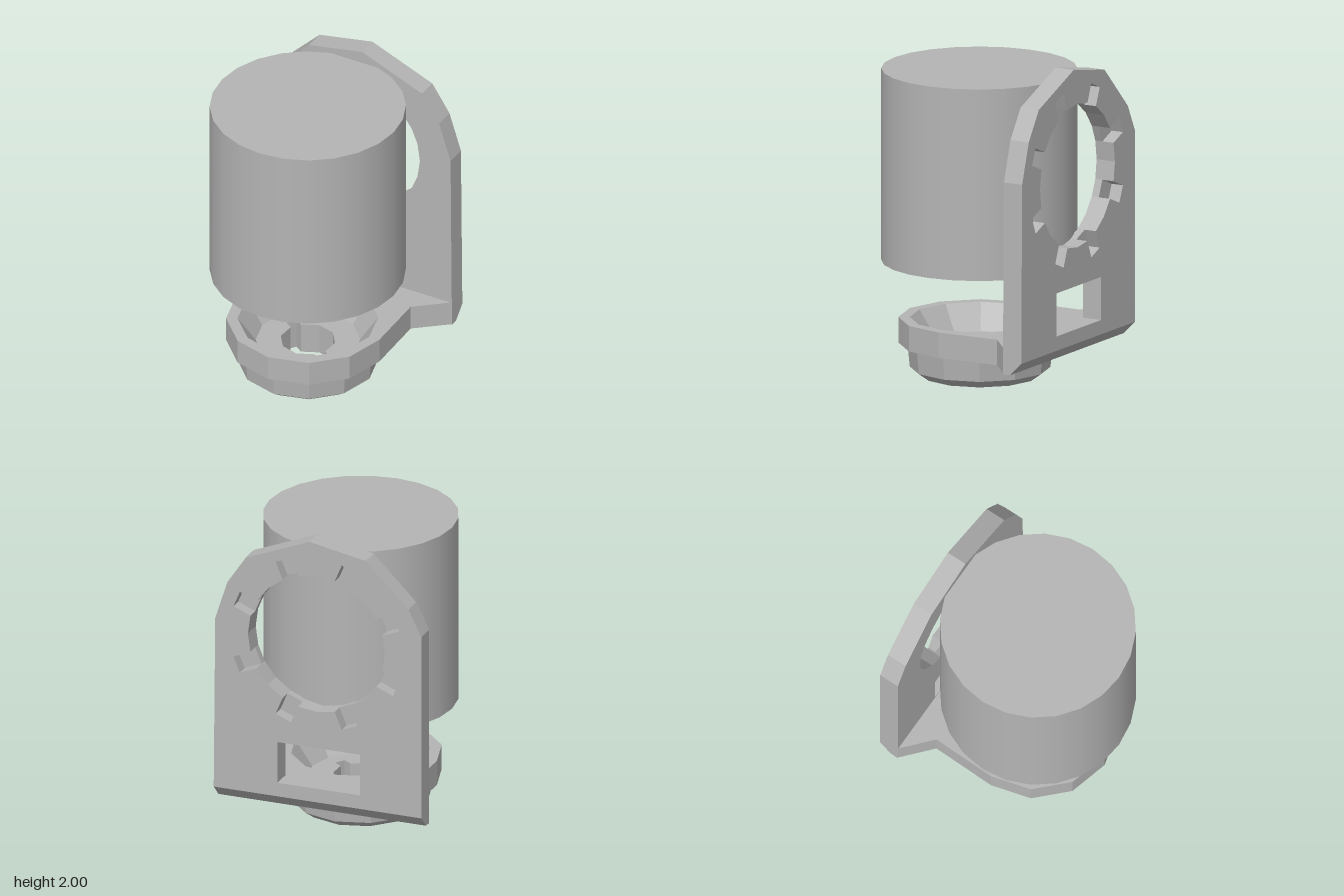
import * as THREE from 'three';

const V = (x, y) => new THREE.Vector2(x, y);

// Regular polygon with a corner on the x axis
function ring(cx, cy, r, n) {
  return Array.from({ length: n }, (_, i) => {
    const a = (i / n) * Math.PI * 2;
    return V(cx + r * Math.cos(a), cy + r * Math.sin(a));
  });
}

// Round hole with n rectangular notches reaching out to radius R (R = r leaves it plain)
function notchedRing(cx, cy, r, R, n, phase, halfWidth) {
  const pts = [];
  const add = (a, d) => pts.push(V(cx + d * Math.cos(a), cy + d * Math.sin(a)));
  for (let i = 0; i < n; i++) {
    const a = phase + (i / n) * Math.PI * 2;
    const w = halfWidth / r, W = halfWidth / R;
    add(a - w, r);
    if (R > r) { add(a - W, R); add(a + W, R); }
    add(a + w, r);
    const steps = n > 4 ? 2 : 4;
    for (let k = 1; k < steps; k++) add(a + w + (k / steps) * ((Math.PI * 2) / n - 2 * w), r);
  }
  return pts;
}

function extrude(outline, holes, depth) {
  const shape = new THREE.Shape(outline);
  for (const h of holes) shape.holes.push(new THREE.Path(h));
  return new THREE.ExtrudeGeometry(shape, { depth, bevelEnabled: false });
}

// Extrude a floor-plan shape (x, z) downward from the given top height
function slab(outline, holes, depth, top) {
  return extrude(outline, holes, depth).rotateX(Math.PI / 2).translate(0, top, 0);
}

export function createModel() {
  const group = new THREE.Group();
  const grey = new THREE.MeshStandardMaterial({ color: 0xb4b4b4 });
  grey.name = 'grey';
  const add = (name, geometry) => {
    const mesh = new THREE.Mesh(geometry, grey);
    mesh.name = name;
    group.add(mesh);
    return mesh;
  };
  const CX = -0.01, CZ = 0.05;

  // Floating drum
  add('drum', new THREE.CylinderGeometry(0.6, 0.6, 1.2, 24).translate(-0.008, 1.32, 0.055));

  // Upright plate: plain front layer, notched back layer with a chamfered foot
  const outline = [
    V(-0.685, 0.2), V(0.68, 0.2), V(0.67, 1.4), V(0.59, 1.65), V(0.47, 1.83),
    V(0.05, 2), V(-0.32, 1.93), V(-0.6, 1.65), V(-0.685, 1.48),
  ];
  const windowHole = [V(-0.28, 0.37), V(0.26, 0.37), V(0.26, 0.64), V(-0.28, 0.64)];
  const portHole = (R) => notchedRing(0.005, 1.33, 0.45, R, 8, Math.PI / 8, 0.055);
  add('plateFront', extrude(outline, [windowHole, portHole(0.45)], 0.05).translate(0, 0, -0.57));

  const back = extrude(outline, [windowHole, portHole(0.57)], 0.08);
  const p = back.attributes.position;
  for (let i = 0; i < p.count; i++) {
    if (p.getZ(i) < 0.01 && p.getY(i) < 0.21) p.setY(i, 0.28);
  }
  back.computeVertexNormals();
  add('plateBack', back.translate(0, 0, -0.65));

  // Shelf: tapered neck leading to a round collar
  const collar = ring(CX, CZ, 0.5, 12).slice(0, 7);
  add('shelf', slab(
    [V(-0.68, -0.57), V(-0.68, -0.52), V(-0.5, -0.36), ...collar.reverse(),
      V(0.48, -0.36), V(0.67, -0.52), V(0.67, -0.57)],
    [ring(CX, CZ, 0.43, 12)], 0.16, 0.36));

  // Faceted cup: chamfered boss outside, sloping bowl inside
  const profile = [V(0.32, 0), V(0.36, 0), V(0.43, 0.05), V(0.445, 0.2), V(0.43, 0.205), V(0.43, 0.36), V(0.32, 0.2)];
  const cup = new THREE.LatheGeometry(profile, 12).toNonIndexed();
  cup.computeVertexNormals();
  add('cup', cup.translate(CX, 0, CZ));

  // Cup floor with a slotted through-hole
  add('cupFloor', slab(ring(CX, CZ, 0.32, 12),
    [notchedRing(CX, CZ, 0.17, 0.23, 2, 0.6, 0.035)], 0.2, 0.2));

  return group;
}
